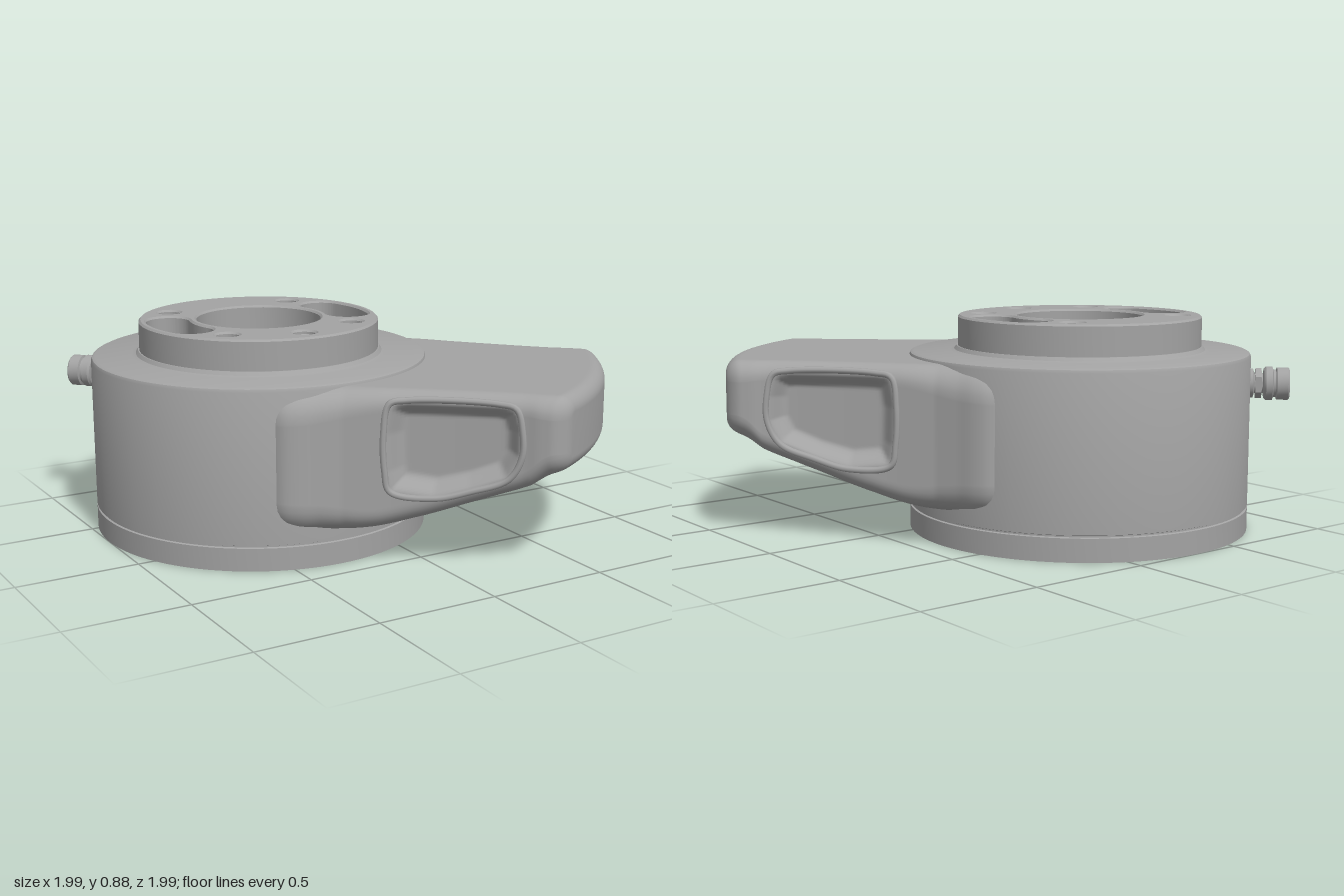
import * as THREE from 'three';
import { toCreasedNormals } from 'three/addons/utils/BufferGeometryUtils.js';
import { RoundedBoxGeometry } from 'three/addons/geometries/RoundedBoxGeometry.js';

const grey = new THREE.MeshStandardMaterial({ color: 0xa3a3a3 });
grey.name = 'machined grey';

function part(parent, name, geometry) {
  const mesh = new THREE.Mesh(geometry, grey);
  mesh.name = name;
  parent.add(mesh);
  return mesh;
}

function lathe(points, segments = 96) {
  const pts = points.map(([x, y]) => new THREE.Vector2(x, y));
  return toCreasedNormals(new THREE.LatheGeometry(pts, segments), 0.5);
}

// Smooth function through a few (x, y) points
function spline(points) {
  const curve = new THREE.SplineCurve(points.map(([x, y]) => new THREE.Vector2(x, y)));
  const last = points.length - 1;
  return (x) => {
    let i = 0;
    while (i < last - 1 && x > points[i + 1][0]) i++;
    const f = THREE.MathUtils.clamp((x - points[i][0]) / (points[i + 1][0] - points[i][0]), 0, 1);
    return curve.getPoint((i + f) / last).y;
  };
}

// Arm outline: half width, underside height and edge radius along its length
const armWidth = spline([[0.1, 0.56], [0.2, 0.61], [0.28, 0.648], [0.34, 0.645], [0.42, 0.61],
  [0.51, 0.573], [0.71, 0.532], [0.95, 0.508], [1.17, 0.498], [1.3, 0.508], [1.4, 0.51]]);
const armBottom = spline([[0.1, 0.14], [0.4, 0.14], [0.58, 0.152], [0.77, 0.2], [1.0, 0.278],
  [1.24, 0.36], [1.4, 0.42]]);
const armRadius = spline([[0.1, 0.13], [0.4, 0.12], [0.65, 0.075], [1.2, 0.07], [1.4, 0.08]]);
const ARM_TOP = 0.715;

// Outline of the side recesses as (distance along arm, height)
const recess = [[0.69, 0.32], [0.86, 0.3], [1.0, 0.335], [1.14, 0.39], [1.19, 0.48], [1.19, 0.58],
  [1.165, 0.665], [1.1, 0.68], [0.75, 0.68], [0.685, 0.665], [0.665, 0.55], [0.67, 0.4]];

function recessDepth(u, y) {
  let outside = -1;
  recess.forEach(([u0, y0], i) => {
    const [u1, y1] = recess[(i + 1) % recess.length];
    const du = u1 - u0, dy = y1 - y0;
    outside = Math.max(outside, ((u - u0) * dy - (y - y0) * du) / Math.hypot(du, dy));
  });
  return 0.06 * THREE.MathUtils.smoothstep(-outside, 0, 0.07);
}

// Half width of the arm at a given height, including the rounded edges
function armSide(u, y) {
  const r = armRadius(u);
  const d = Math.min(r, Math.max(0, y - (ARM_TOP - r), armBottom(u) + r - y));
  return armWidth(u) - r + Math.sqrt(r * r - d * d);
}

// Rounded cross-section, counter-clockwise
function armSection(u, inset) {
  const w = armWidth(u) - inset, y0 = armBottom(u) + inset, y1 = ARM_TOP - inset;
  const r = Math.max(0.02, armRadius(u) - inset);
  const pts = [];
  const corners = [[w - r, y0 + r, -90], [w - r, y1 - r, 0], [r - w, y1 - r, 90], [r - w, y0 + r, 180]];
  corners.forEach(([cx, cy, start], c) => {
    for (let k = 0; k <= 8; k++) {
      const a = THREE.MathUtils.degToRad(start + (90 * k) / 8);
      pts.push([cx + r * Math.cos(a), cy + r * Math.sin(a)]);
    }
    const from = pts[pts.length - 1];
    const [nx, ny, na] = corners[(c + 1) % 4];
    const a = THREE.MathUtils.degToRad(na);
    const to = [nx + r * Math.cos(a), ny + r * Math.sin(a)];
    const n = c % 2 ? 24 : 36;
    for (let k = 1; k < n; k++) {
      pts.push([from[0] + ((to[0] - from[0]) * k) / n, from[1] + ((to[1] - from[1]) * k) / n]);
    }
  });
  return pts;
}

function armGeometry() {
  const END = 1.44, ROUND = 0.06, stations = [];
  for (let i = 0; i < 110; i++) stations.push([0.1 + ((END - ROUND - 0.1) * i) / 110, 0, 1]);
  for (let k = 0; k <= 8; k++) {
    const a = (k / 8) * (Math.PI / 2);
    stations.push([END - ROUND + ROUND * Math.sin(a), ROUND * (1 - Math.cos(a)), 1]);
  }
  stations.push([END, ROUND, 0]); // closes the curved end face
  const pos = [], index = [];
  let n = 0;
  stations.forEach(([u, inset, open], i) => {
    const ring = armSection(u, inset);
    const mid = (armBottom(u) + ARM_TOP) / 2;
    n = ring.length;
    ring.forEach(([x, y], j) => {
      const onSide = Math.abs(x) > armWidth(u) - armRadius(u) - 0.001;
      const dent = onSide ? recessDepth(u, y) : 0;
      const bow = THREE.MathUtils.smoothstep(u, 1.15, 1.42) * (END - Math.sqrt(END * END - x * x));
      pos.push(x - Math.sign(x) * dent, mid + (y - mid) * open, u - bow);
      if (i === 0) return;
      const k = (j + 1) % n, p = (i - 1) * n, q = i * n;
      index.push(p + j, p + k, q + j);
      if (open) index.push(p + k, q + k, q + j);
      else index.push(p + k, q + k, q + j);
    });
  });
  const g = new THREE.BufferGeometry();
  g.setAttribute('position', new THREE.Float32BufferAttribute(pos, 3));
  g.setIndex(index);
  g.computeVertexNormals();
  return g;
}

function circleHole(x, y, r) {
  return new THREE.Path().absarc(x, y, r, 0, Math.PI * 2, true);
}

// Curved slot around the centre, facing the given angle
function kidneyHole(angle) {
  const h = 0.305, R = 0.38, w = 0.09;
  const p = new THREE.Path();
  const end = (a) => [R * Math.cos(a), R * Math.sin(a)];
  p.absarc(0, 0, R + w, angle - h, angle + h, false);
  p.absarc(...end(angle + h), w, angle + h, angle + h + Math.PI, false);
  p.absarc(0, 0, R - w, angle + h, angle - h, true);
  p.absarc(...end(angle - h), w, angle - h + Math.PI, angle - h + Math.PI * 2, false);
  return p;
}

export function createModel() {
  const model = new THREE.Group();
  model.name = 'rotary unit';
  const unit = new THREE.Group();
  unit.name = 'housing';
  unit.position.set(-0.3, 0, -0.3);
  model.add(unit);

  // Round housing with base seam, rounded shoulder and a sunken pan below the flange
  part(unit, 'body', lathe([[0, 0], [0.7, 0], [0.7, 0.093], [0.692, 0.096], [0.692, 0.102], [0.7, 0.105],
    [0.7, 0.712], [0.695, 0.724], [0.683, 0.73], [0.532, 0.73], [0.515, 0.736], [0.505, 0.75],
    [0.49, 0.75], [0.49, 0.655], [0, 0.655]], 128));

  // Flange plate with bore, slots and screw holes
  const plate = new THREE.Shape().absarc(0, 0, 0.5, 0, Math.PI * 2, false);
  const screws = [[0, -0.396]];
  for (const sx of [-1, 1]) for (const sy of [-1, 1]) screws.push([0.283 * sx, 0.283 * sy]);
  plate.holes.push(circleHole(0, 0, 0.26), kidneyHole(0), kidneyHole(Math.PI));
  screws.forEach(([x, y]) => plate.holes.push(circleHole(x, y, 0.048)));
  const flange = new THREE.ExtrudeGeometry(plate, { depth: 0.209, curveSegments: 40, bevelEnabled: true,
    bevelThickness: 0.008, bevelSize: 0.008, bevelOffset: -0.008, bevelSegments: 1 });
  flange.rotateX(-Math.PI / 2).translate(0, 0.658, 0);
  part(unit, 'flange', toCreasedNormals(flange, 0.5));
  screws.forEach(([x, y], i) => {
    const floor = i ? lathe([[0.052, 0.66], [0.052, 0.8], [0, 0.8]], 24)
      : lathe([[0.052, 0.66], [0.052, 0.86], [0, 0.82]], 24);
    part(unit, 'screwHoleFloor', floor).position.set(x, 0, -y);
  });

  // Arm group runs along the diagonal
  const diagonal = new THREE.Group();
  diagonal.name = 'arm group';
  diagonal.rotation.y = Math.PI / 4;
  unit.add(diagonal);
  part(diagonal, 'arm', armGeometry());

  // Raised rims around both side recesses
  for (const side of [-1, 1]) {
    const pts = recess.map(([u, y]) => new THREE.Vector3(side * armSide(u, y), y, u));
    const rim = new THREE.CatmullRomCurve3(pts, true);
    part(diagonal, 'recessRim', new THREE.TubeGeometry(rim, 120, 0.013, 8, true));
  }

  // Small pad under the sloping belly
  const pad = part(diagonal, 'undersidePad', new RoundedBoxGeometry(0.3, 0.05, 0.15, 3, 0.015));
  pad.position.set(0, 0.253, 0.93);
  pad.rotation.x = -0.32;

  // Cable connector at the back
  const plug = new THREE.Group();
  plug.name = 'connector';
  plug.position.set(0, 0.6, -0.68);
  plug.rotation.x = -Math.PI / 2;
  diagonal.add(plug);
  part(plug, 'connectorSleeve', lathe([[0.06, 0], [0.06, 0.03], [0.04, 0.036], [0.04, 0.07], [0.06, 0.074],
    [0.068, 0.082], [0.068, 0.108], [0.056, 0.112], [0.056, 0.122], [0.066, 0.126], [0.066, 0.17],
    [0.06, 0.176], [0.052, 0.176], [0.052, 0.162], [0, 0.162]], 32));
  const nut = part(plug, 'connectorNut', toCreasedNormals(new THREE.CylinderGeometry(0.062, 0.062, 0.025, 6), 0.3));
  nut.position.y = 0.052;
  for (let i = 0; i < 7; i++) {
    const a = (i / 6) * Math.PI * 2, r = i < 6 ? 0.033 : 0;
    const pin = part(plug, 'connectorPin', new THREE.CylinderGeometry(0.008, 0.008, 0.016, 10));
    pin.position.set(r * Math.cos(a), 0.168, r * Math.sin(a));
  }
  return model;
}
